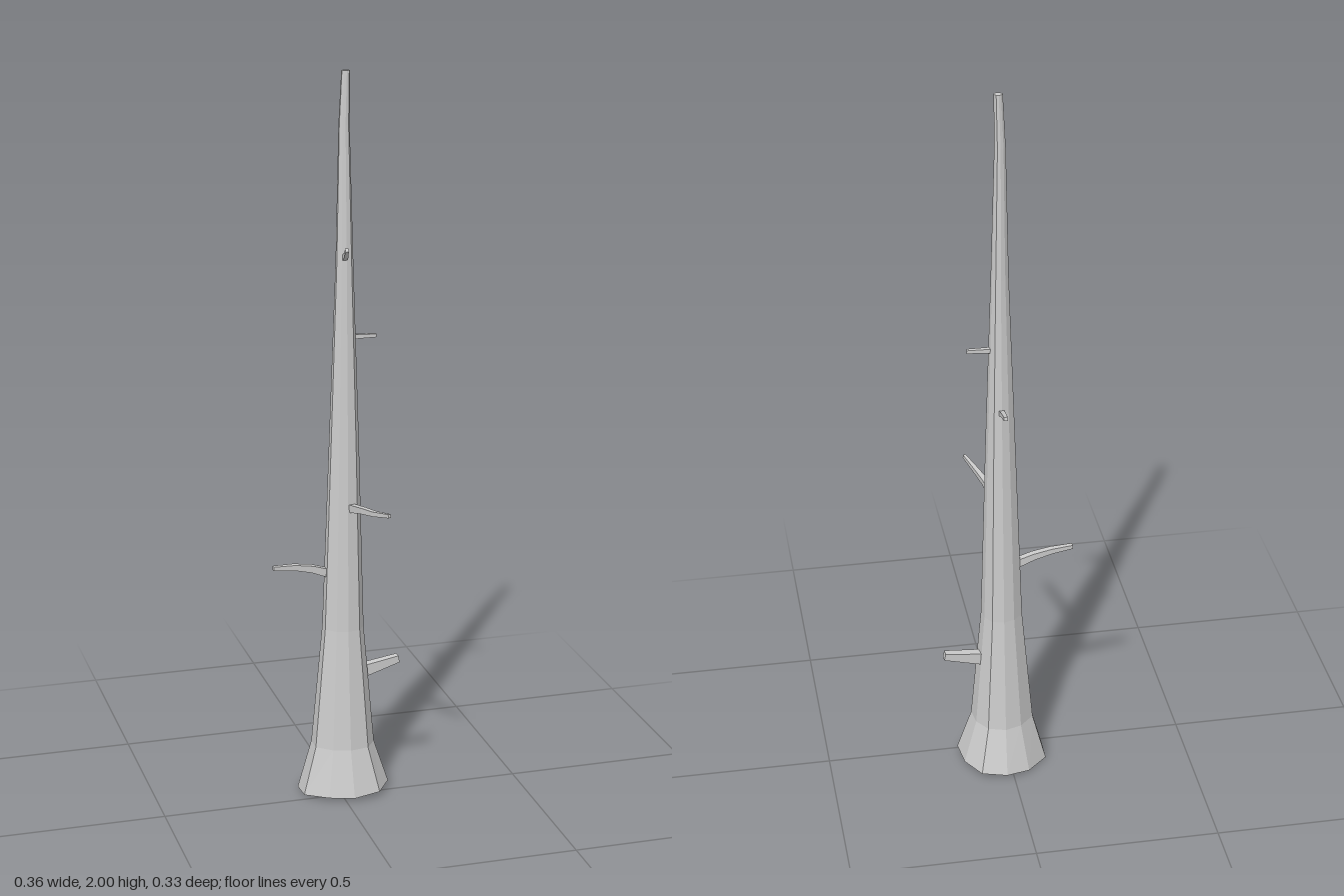
import * as THREE from 'three';

const V = (x, y, z) => new THREE.Vector3(x, y, z);

// Skins a list of rings (each counter-clockwise about the path) and closes both ends.
function loft(name, rings, material) {
  const pos = [];
  const tri = (...points) => points.forEach((p) => pos.push(p.x, p.y, p.z));
  const n = rings[0].length;
  for (let r = 0; r < rings.length - 1; r++) {
    for (let i = 0; i < n; i++) {
      const j = (i + 1) % n;
      const [a, b, c, d] = [rings[r][i], rings[r][j], rings[r + 1][j], rings[r + 1][i]];
      tri(a, b, c);
      tri(a, c, d);
    }
  }
  const first = rings[0], last = rings[rings.length - 1];
  for (let i = 1; i < n - 1; i++) {
    tri(first[0], first[i + 1], first[i]);
    tri(last[0], last[i], last[i + 1]);
  }
  const geometry = new THREE.BufferGeometry();
  geometry.setAttribute('position', new THREE.Float32BufferAttribute(pos, 3));
  geometry.computeVertexNormals();
  const mesh = new THREE.Mesh(geometry, material);
  mesh.name = name;
  return mesh;
}

// Uneven ten-sided outline of the root flare, as [x, z].
const outline = [
  [0.138, -0.017], [0.128, -0.087], [0.088, -0.145], [0.02, -0.165], [-0.045, -0.145],
  [-0.103, -0.087], [-0.103, -0.017], [-0.045, 0.033], [0.022, 0.054], [0.097, 0.04],
];
const baseX = 0.02, baseZ = -0.053;

function trunkRing(y, scale, cx = baseX, cz = baseZ, wave = 0) {
  return outline.map(([x, z], i) => V(
    cx + (x - baseX) * scale,
    y + wave * Math.cos(i * Math.PI * 0.2) + wave * 0.4 * Math.cos(i * Math.PI * 0.6),
    cz + (z - baseZ) * scale,
  ));
}

// Four-sided branch that follows its points; each is [x, y, z, width, height].
function branch(name, points, material) {
  const centres = points.map(([x, y, z]) => V(x, y, z));
  const rings = points.map(([, , , w, h], i) => {
    const t = centres[Math.min(i + 1, centres.length - 1)].clone()
      .sub(centres[Math.max(i - 1, 0)]).normalize();
    const side = V(0, 1, 0).cross(t).normalize();
    const up = t.clone().cross(side);
    return [[1, 1], [-1, 1], [-1, -1], [1, -1]].map(([a, b]) => centres[i].clone()
      .addScaledVector(side, a * w / 2).addScaledVector(up, b * h / 2));
  });
  return loft(name, rings, material);
}

export function createModel() {
  const group = new THREE.Group();
  group.name = 'bareTree';
  const bark = new THREE.MeshStandardMaterial({ color: 0xcccccc, flatShading: true });

  // Trunk: hollow underside, rim, root flare, then a long taper
  group.add(loft('trunk', [
    trunkRing(0.06, 0.66),
    trunkRing(0.01, 0.74, baseX, baseZ, 0.006),
    trunkRing(0.01, 1, baseX, baseZ, 0.007),
    trunkRing(0.14, 0.69, 0.018, -0.051),
    trunkRing(0.48, 0.45, 0.018, -0.05),
    trunkRing(1.0, 0.32, 0.02, -0.048),
    trunkRing(1.5, 0.185, 0.021, -0.048),
    trunkRing(1.86, 0.115, 0.02, -0.049),
    trunkRing(2.0, 0.09, 0.024, -0.048),
  ], bark));

  // Branches, lowest first
  const branches = {
    lowLeftBranch: [[0.06, 0.34, -0.053, 0.026, 0.036], [0.12, 0.352, -0.057, 0.023, 0.028],
      [0.178, 0.364, -0.061, 0.02, 0.02]],
    longRightBranch: [[-0.015, 0.635, -0.052, 0.018, 0.024], [-0.07, 0.655, -0.05, 0.018, 0.019],
      [-0.12, 0.665, -0.047, 0.016, 0.015], [-0.18, 0.669, -0.042, 0.012, 0.011]],
    longFrontBranch: [[0.03, 0.828, -0.02, 0.017, 0.022], [0.045, 0.842, 0.05, 0.016, 0.016],
      [0.06, 0.848, 0.1, 0.013, 0.013], [0.083, 0.86, 0.163, 0.008, 0.01]],
    backBranch: [[0.021, 1.12, -0.07, 0.014, 0.014], [0.021, 1.133, -0.11, 0.012, 0.012],
      [0.022, 1.143, -0.147, 0.01, 0.01]],
    upperLeftBranch: [[0.035, 1.295, -0.05, 0.013, 0.012], [0.107, 1.295, -0.046, 0.01, 0.009]],
    upperFrontBranch: [[0.018, 1.51, -0.04, 0.012, 0.016], [0.015, 1.523, -0.013, 0.011, 0.012],
      [0.01, 1.543, 0.013, 0.009, 0.01]],
  };
  for (const [name, points] of Object.entries(branches)) group.add(branch(name, points, bark));

  return group;
}
